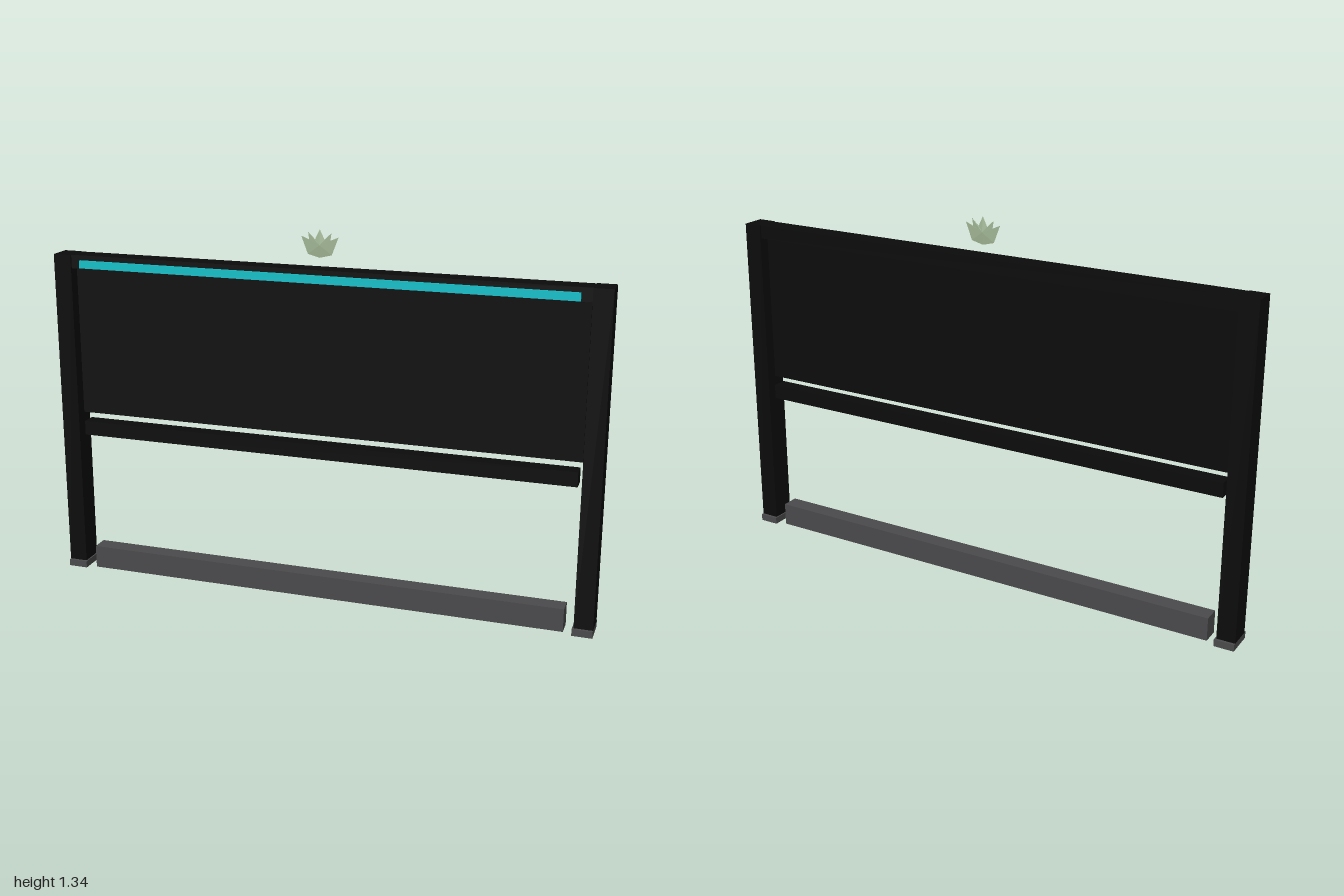
import * as THREE from 'three';

const makeMaterial = (name, color, extra = {}) => {
  const m = new THREE.MeshStandardMaterial({ color, ...extra });
  m.name = name;
  return m;
};

// Star-shaped outline with a raised centre on both faces, thin at the edge
function budGeometry() {
  const half = [[0, 0.098], [0.017, 0.063], [0.042, 0.087], [0.038, 0.06], [0.067, 0.073], [0.043, 0.011]];
  const outline = [...half, [0, 0], ...half.slice(1).reverse().map(([x, y]) => [-x, y])];
  const pos = [];
  outline.forEach(([ax, ay], i) => {
    const [bx, by] = outline[(i + 1) % outline.length];
    pos.push(0, 0.044, 0.006, bx, by, 0, ax, ay, 0);
    pos.push(0, 0.044, -0.006, ax, ay, 0, bx, by, 0);
  });
  const geo = new THREE.BufferGeometry();
  geo.setAttribute('position', new THREE.Float32BufferAttribute(pos, 3));
  geo.computeVertexNormals();
  return geo;
}

export function createModel() {
  const group = new THREE.Group();
  const black = makeMaterial('black frame', 0x0b0b0b);
  const grey = makeMaterial('dark grey', 0x4a4a4c);
  const teal = makeMaterial('teal light', 0x10bfc8);
  const green = makeMaterial('pale green', 0xa3b896, { flatShading: true });

  // Box given by its lower and upper limits on each axis
  const box = (name, mat, [x0, x1], [y0, y1], [z0, z1]) => {
    const mesh = new THREE.Mesh(new THREE.BoxGeometry(x1 - x0, y1 - y0, z1 - z0), mat);
    mesh.position.set((x0 + x1) / 2, (y0 + y1) / 2, (z0 + z1) / 2);
    mesh.name = name;
    group.add(mesh);
  };

  // Posts on small foot plates
  for (const [side, s] of [['left', 1], ['right', -1]]) {
    const span = (a, b) => (s > 0 ? [a, b] : [-b, -a]);
    box(side + 'Post', black, span(0.933, 1), [0.025, 1.21], [-0.043, 0.043]);
    box(side + 'Foot', grey, span(0.928, 1), [0, 0.025], [-0.053, 0.053]);
  }

  // Cross members and infill panel
  box('topBeam', black, [-0.933, 0.933], [1.161, 1.21], [-0.037, 0.037]);
  box('panel', black, [-0.928, 0.928], [0.613, 1.154], [-0.009, 0.009]);
  box('lowerRail', black, [-0.917, 0.917], [0.53, 0.583], [-0.027, 0.027]);
  box('groundBar', grey, [-0.896, 0.896], [0, 0.085], [-0.032, 0.032]);

  // Light strip on the front of the beam
  box('lightStrip', teal, [-0.896, 0.896], [1.165, 1.193], [0.041, 0.05]);

  // Bud emblem floating above the beam
  const bud = new THREE.Mesh(budGeometry(), green);
  bud.name = 'bud';
  bud.position.y = 1.246;
  group.add(bud);

  return group;
}
